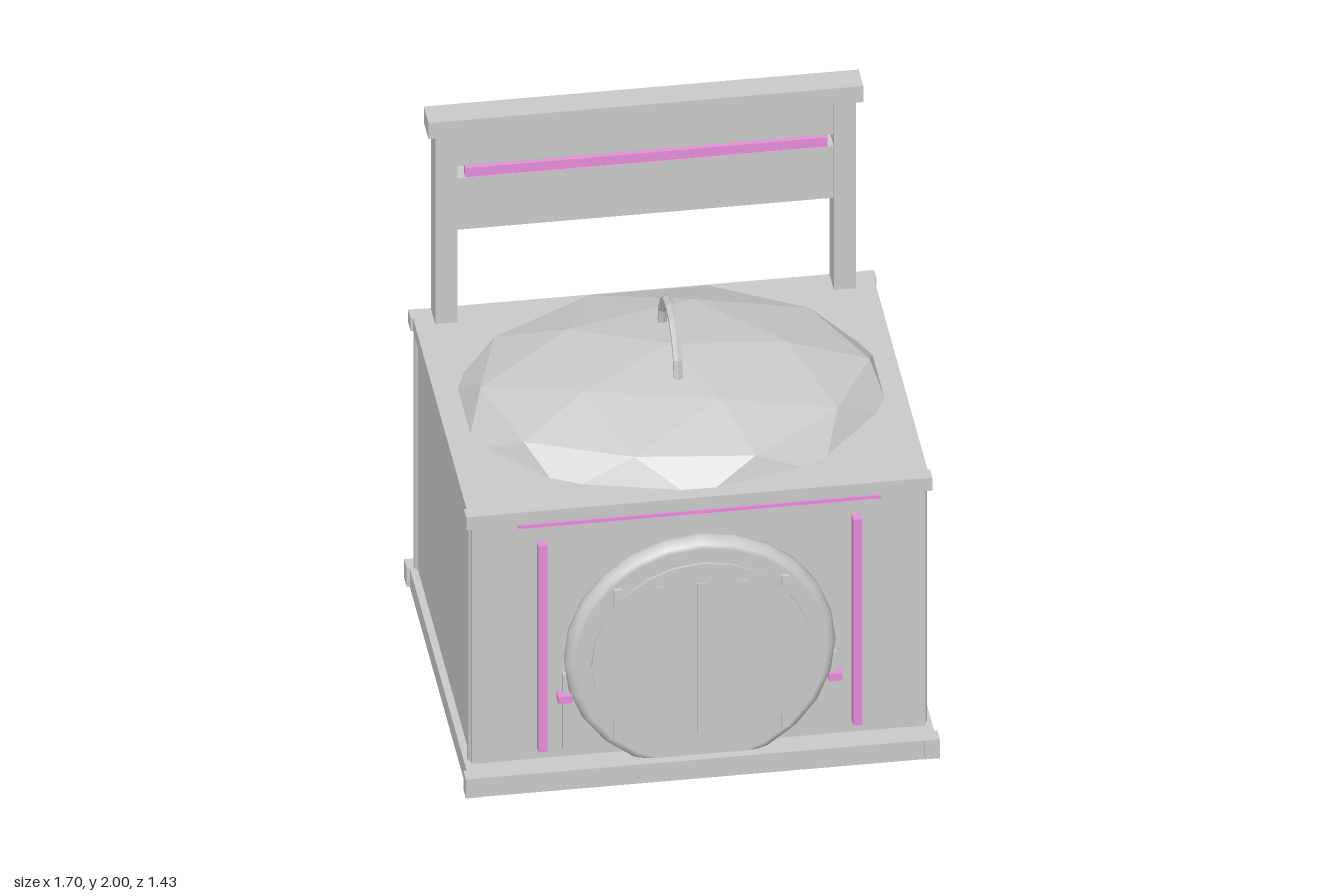
import * as THREE from 'three';

export function createModel() {
  const root = new THREE.Group();
  const grey = new THREE.MeshStandardMaterial({ color: 0xcacaca });
  grey.name = 'greyWood';
  const facetGrey = new THREE.MeshStandardMaterial({ color: 0xcacaca, flatShading: true });
  facetGrey.name = 'greyFacets';
  const pink = new THREE.MeshStandardMaterial({ color: 0xe68eda });
  pink.name = 'pinkTrim';

  const add = (name, geometry, material = grey) => {
    const mesh = new THREE.Mesh(geometry, material);
    mesh.name = name;
    root.add(mesh);
    return mesh;
  };
  // Box given by its limits on each axis
  const box = (name, [x0, x1], [y0, y1], [z0, z1], material) => {
    const g = new THREE.BoxGeometry(x1 - x0, y1 - y0, z1 - z0);
    g.translate((x0 + x1) / 2, (y0 + y1) / 2, (z0 + z1) / 2);
    return add(name, g, material);
  };
  const span = (c, w) => [c - w / 2, c + w / 2];

  // Open base frame: four rails and slightly larger corner blocks
  box('baseFrontRail', [-0.8, 0.8], [0, 0.08], [0.66, 0.715]);
  box('baseBackRail', [-0.8, 0.8], [0, 0.08], [-0.715, -0.655]);
  for (const s of [-1, 1]) {
    box('baseSideRail', span(s * 0.812, 0.054), [0, 0.08], [-0.66, 0.66]);
    for (const z of [-0.688, 0.688]) {
      box('baseCornerBlock', span(s * 0.823, 0.054), [0, 0.08], span(z, 0.058));
    }
  }
  // Ledge that closes the slot in front of the body, seen only from above
  const ledge = new THREE.PlaneGeometry(1.6, 0.06);
  ledge.rotateX(-Math.PI / 2);
  add('baseLedge', ledge).position.set(0, 0.078, 0.635);

  // Body, full-width front panel and round corner posts
  box('body', [-0.812, 0.812], [0.07, 1.1], [-0.692, 0.6]);
  box('frontPanel', [-0.814, 0.814], [0.08, 1.09], [0.6, 0.62]);
  for (const x of [-0.775, 0.775]) {
    for (const z of [-0.664, 0.584]) {
      const post = add('cornerPost', new THREE.CylinderGeometry(0.037, 0.037, 1.03, 16));
      post.scale.x = 1.35;
      post.position.set(x, 0.585, z);
    }
  }

  // Top slab with slightly wider corners
  box('topSlab', [-0.827, 0.827], [1.086, 1.14], [-0.714, 0.634]);
  for (const s of [-1, 1]) {
    for (const z of [-0.688, 0.608]) {
      box('slabCornerBlock', span(s * 0.813, 0.046), [1.086, 1.14], span(z, 0.056));
    }
  }

  // Faceted domed lid, turned to stand on one vertex
  const lid = new THREE.IcosahedronGeometry(1, 1);
  lid.rotateZ(Math.atan(2 / (1 + Math.sqrt(5))));
  lid.rotateY(Math.PI);
  lid.scale(0.8, 0.25, 0.65);
  add('lid', lid, facetGrey).position.set(0, 1.105, -0.04);

  // Arched lid handle
  const handle = add('lidHandle', new THREE.TorusGeometry(0.185, 0.018, 6, 8, Math.PI), facetGrey);
  handle.rotation.y = Math.PI / 2;
  handle.position.set(0, 1.323, -0.04);

  // Backrest: posts, panels and cap
  for (const s of [-1, 1]) {
    box('backPost', span(s * 0.715, 0.08), [1.13, 1.94], [-0.706, -0.61]);
  }
  box('lowerBackPanel', [-0.68, 0.68], [1.53, 1.75], [-0.702, -0.614]);
  box('upperBackPanel', [-0.68, 0.68], [1.8, 1.94], [-0.702, -0.614]);
  box('backCap', [-0.78, 0.78], [1.932, 2], [-0.713, -0.605]);
  box('backTrim', [-0.65, 0.65], [1.764, 1.802], [-0.622, -0.594], pink);

  // Front trims
  box('topFrontTrim', [-0.65, 0.65], [1.077, 1.09], [0.61, 0.643], pink);
  for (const s of [-1, 1]) {
    box('frontTrim', span(s * 0.565, 0.032), [0.13, 1.005], [0.61, 0.658], pink);
    box('doorHinge', span(s * 0.485, 0.05), [0.33, 0.36], [0.61, 0.662], pink);
  }

  // Round door: backing, flat rim with a rounded edge, disc and thin slats
  box('doorBacking', [-0.49, 0.49], [0.12, 0.44], [0.605, 0.645]);
  const rimProfile = [
    [0.472, 0.61], [0.485, 0.625], [0.487, 0.645], [0.481, 0.664],
    [0.469, 0.677], [0.458, 0.681], [0.452, 0.682], [0.38, 0.682],
  ].map(([r, h]) => new THREE.Vector2(r, h));
  const rim = new THREE.LatheGeometry(rimProfile, 24);
  rim.rotateX(Math.PI / 2);
  add('doorRim', rim).position.y = 0.5;
  const disc = new THREE.CylinderGeometry(0.395, 0.395, 0.08, 24);
  disc.rotateX(Math.PI / 2);
  add('doorDisc', disc).position.set(0, 0.5, 0.652);
  for (const x of [-0.3, -0.15, 0, 0.15, 0.3]) {
    box('doorSlat', span(x, 0.03), [0.175, 0.815], [0.66, 0.697]);
  }
  return root;
}
